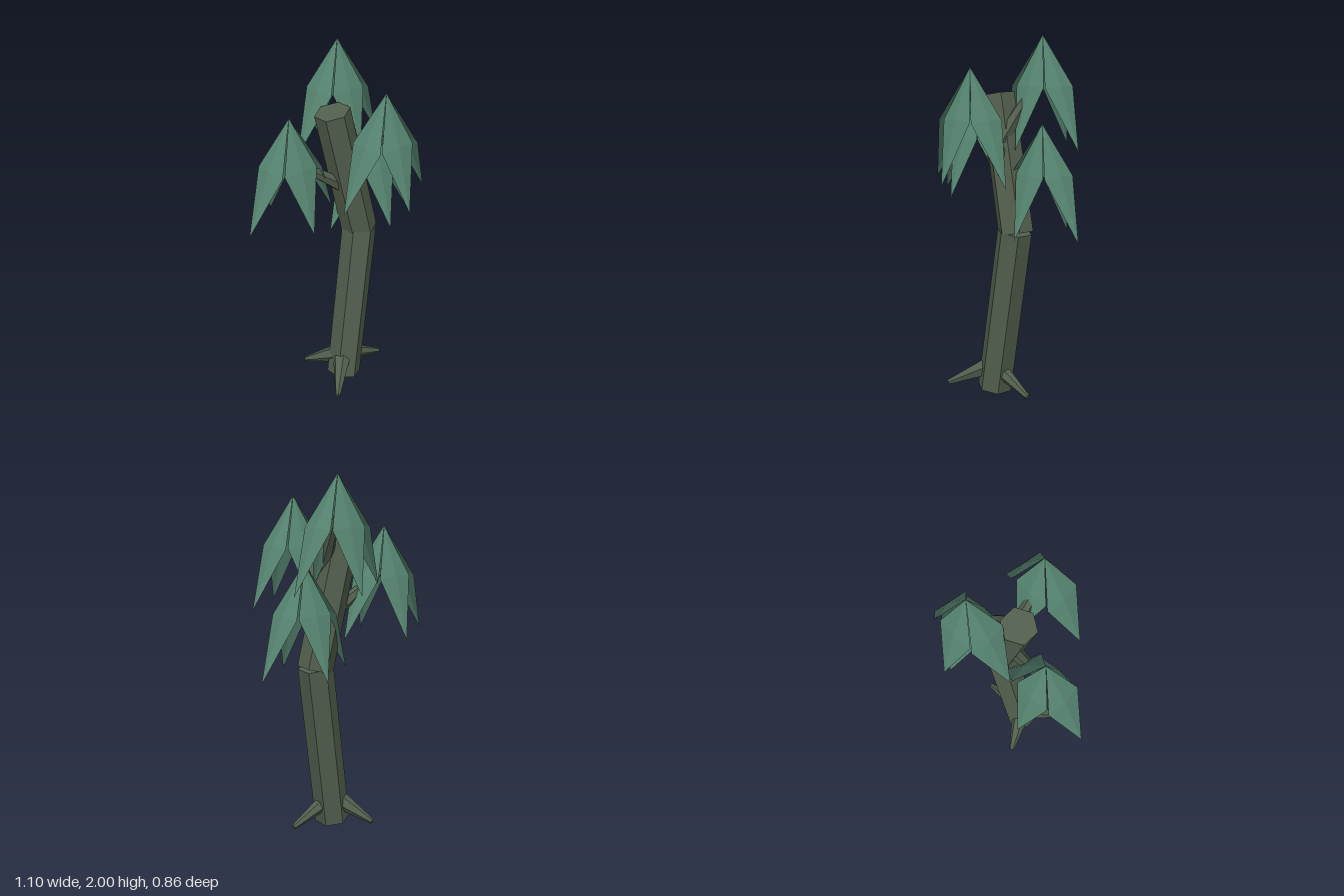
import * as THREE from 'three';

const bark = new THREE.MeshStandardMaterial({ color: 0x535f4e, flatShading: true });
bark.name = 'bark';
const foliage = new THREE.MeshStandardMaterial({ color: 0x588773, flatShading: true, side: THREE.DoubleSide });
foliage.name = 'foliage';

// Six-sided tapered limb running from one point to another
function limb(name, from, to, r0, r1) {
  const a = new THREE.Vector3(...from), b = new THREE.Vector3(...to);
  const dir = b.clone().sub(a);
  const mesh = new THREE.Mesh(new THREE.CylinderGeometry(r1, r0, dir.length(), 6), bark);
  mesh.name = name;
  mesh.position.copy(a).add(b).multiplyScalar(0.5);
  mesh.quaternion.setFromUnitVectors(new THREE.Vector3(0, 1, 0), dir.normalize());
  return mesh;
}

// Drooping diamond leaf along +x with a slightly raised centre
function leafGeometry(reach) {
  const apex = [0, 0, 0], tip = [reach, -0.605, 0];
  const near = [reach * 0.46, -0.272, 0.105], far = [reach * 0.46, -0.272, -0.105];
  const mid = [reach * 0.46 + 0.014, -0.266, 0];
  const faces = [apex, near, mid, near, tip, mid, tip, far, mid, far, apex, mid];
  const geo = new THREE.BufferGeometry();
  geo.setAttribute('position', new THREE.Float32BufferAttribute(faces.flat(), 3));
  geo.computeVertexNormals();
  return geo;
}

// Four leaves hanging from one apex, longer sideways than front to back
function leafCluster(name, apex) {
  const group = new THREE.Group();
  group.name = name;
  group.position.set(...apex);
  for (let i = 0; i < 4; i++) {
    const leaf = new THREE.Mesh(leafGeometry(i % 2 ? 0.198 : 0.28), foliage);
    leaf.name = 'leaf';
    leaf.rotation.y = i * Math.PI / 2;
    group.add(leaf);
  }
  return group;
}

export function createModel() {
  const tree = new THREE.Group();
  tree.name = 'tree';

  // Bent trunk in two pieces
  tree.add(limb('lowerTrunk', [0.005, 0.015, -0.012], [0.14, 0.945, -0.037], 0.098, 0.098));
  tree.add(limb('upperTrunk', [0.145, 0.935, -0.042], [-0.03, 1.68, -0.062], 0.1, 0.098));

  // Roots
  tree.add(limb('leftRoot', [0.02, 0.145, -0.012], [0.28, 0.032, -0.012], 0.05, 0.015));
  tree.add(limb('frontRoot', [-0.035, 0.13, 0.018], [-0.19, 0.032, 0.17], 0.052, 0.015));
  tree.add(limb('backRoot', [-0.02, 0.13, -0.05], [-0.115, 0.032, -0.225], 0.052, 0.015));

  // Branches, each with its leaf cluster
  const crowns = [
    ['back', [0.065, 1.44, 0.0], [0.14, 1.78, -0.22], [0.145, 2.0, -0.232]],
    ['front', [0.07, 1.35, -0.01], [0.085, 1.62, 0.22], [0.085, 1.845, 0.23]],
    ['right', [0.04, 1.23, -0.05], [-0.26, 1.44, -0.115], [-0.27, 1.69, -0.12]],
    ['left', [0.09, 1.12, -0.05], [0.26, 1.32, -0.11], [0.27, 1.54, -0.113]],
  ];
  for (const [side, from, to, apex] of crowns) {
    tree.add(limb(side + 'Branch', from, to, 0.044, 0.018));
    tree.add(leafCluster(side + 'Leaves', apex));
  }
  return tree;
}
